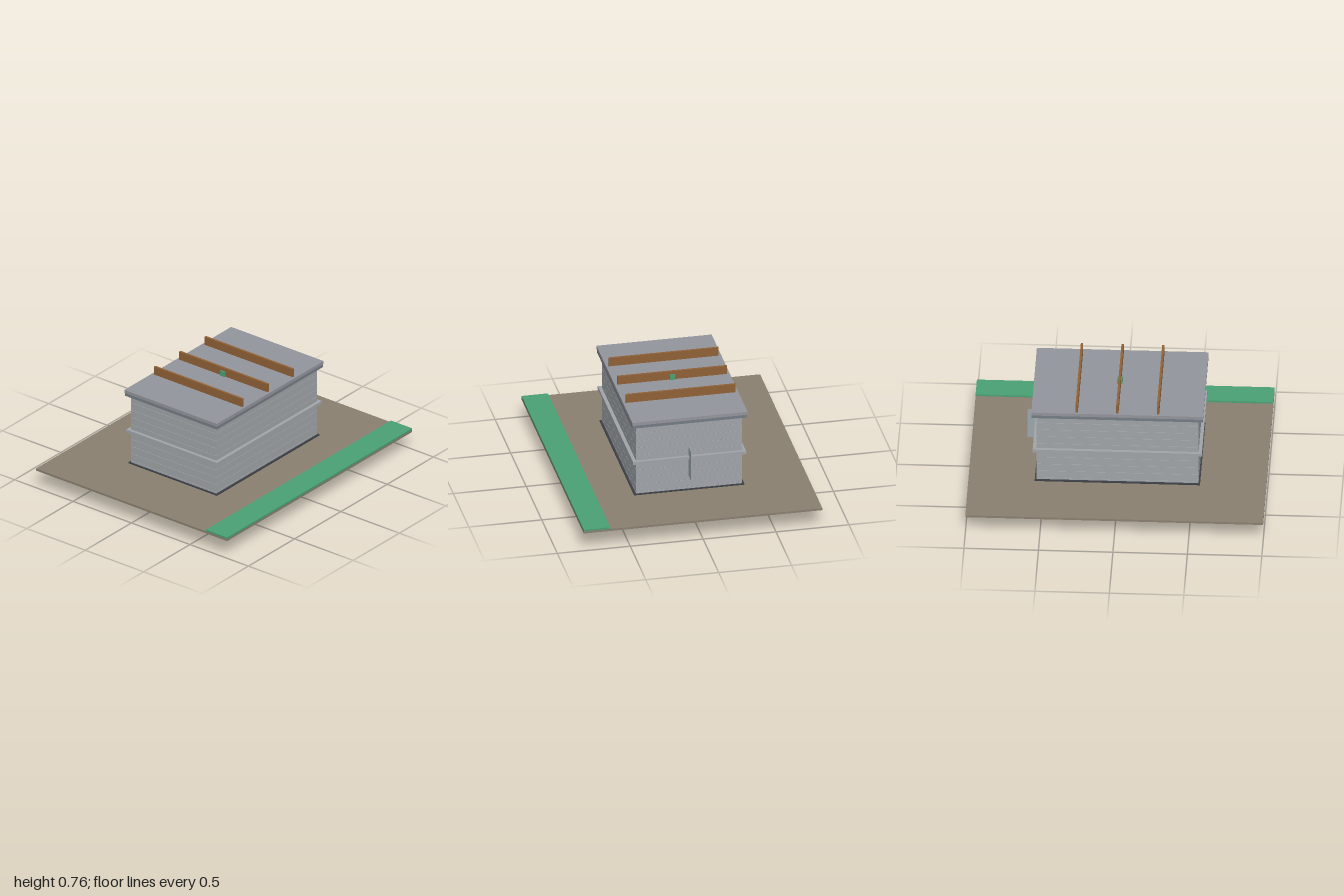
import * as THREE from 'three';

const mat = (color) => new THREE.MeshStandardMaterial({ color });
const M = {
  earth: mat(0x8a7f70), grass: mat(0x4ba075), footing: mat(0x937828), block: mat(0xa0a4a8),
  joint: mat(0x6c7074), damp: mat(0x3c4046), roof: mat(0x93959c), fascia: mat(0x747c84),
  timber: mat(0x8f6136), panel: mat(0x9aa7ae),
};

export function createModel() {
  const model = new THREE.Group();

  // Box given by its minimum and maximum on each axis
  const box = (name, m, x0, x1, y0, y1, z0, z1) => {
    const mesh = new THREE.Mesh(new THREE.BoxGeometry(x1 - x0, y1 - y0, z1 - z0), m);
    mesh.position.set((x0 + x1) / 2, (y0 + y1) / 2, (z0 + z1) / 2);
    mesh.name = name;
    model.add(mesh);
    return mesh;
  };

  // Rectangular frame, open in the middle, with outer half sizes and wall thickness
  const frame = (name, m, hx, hz, t, y0, y1) => {
    const rect = (Type, a, b) => new Type([
      new THREE.Vector2(-a, -b), new THREE.Vector2(a, -b),
      new THREE.Vector2(a, b), new THREE.Vector2(-a, b),
    ]);
    const shape = rect(THREE.Shape, hx, hz);
    shape.holes.push(rect(THREE.Path, hx - t, hz - t));
    const geo = new THREE.ExtrudeGeometry(shape, { depth: y1 - y0, bevelEnabled: false });
    geo.rotateX(-Math.PI / 2);
    const mesh = new THREE.Mesh(geo, m);
    mesh.position.y = y0;
    mesh.name = name;
    model.add(mesh);
  };

  // Ground and the strip of grass along the front
  box('groundSlab', M.earth, -1, 1, 0.13, 0.145, -0.818, 0.818);
  box('grassStrip', M.grass, -1, 1, 0.145, 0.158, 0.637, 0.818);

  // Strip footing with thicker corner piers and column feet
  frame('stripFooting', M.footing, 0.555, 0.38, 0.1, 0.002, 0.13);
  for (const sx of [-1, 1]) {
    for (const sz of [-1, 1]) {
      const x = sx * 0.528, z = sz * 0.345;
      box('cornerPier', M.footing, x - 0.07, x + 0.07, 0.001, 0.13, z - 0.068, z + 0.068);
      box('columnFoot', M.block, x - 0.045, x + 0.045, 0, 0.1, z - 0.045, z + 0.045);
    }
  }

  // Damp course and block walls, laid in courses over a recessed mortar core
  frame('dampCourse', M.damp, 0.555, 0.378, 0.06, 0.145, 0.153);
  frame('mortarCore', M.joint, 0.542, 0.361, 0.03, 0.15, 0.662);
  frame('footCourse', M.block, 0.545, 0.364, 0.036, 0.153, 0.164);
  const pitch = 0.055;
  for (let i = 0; i < 9; i++) {
    const y = 0.165 + i * pitch;
    frame('blockCourse', M.block, 0.545, 0.364, 0.036, y + 0.001, y + pitch - 0.001);
  }

  // Ring beam around the walls at sill height
  frame('ringBeam', M.block, 0.568, 0.388, 0.06, 0.382, 0.403);

  // Roof slab on its fascia, with three timber beams
  box('roofFascia', M.fascia, -0.574, 0.574, 0.66, 0.682, -0.393, 0.393);
  box('roofSlab', M.roof, -0.577, 0.577, 0.682, 0.705, -0.395, 0.395);
  for (const x of [-0.273, 0, 0.273]) {
    box('roofBeam', M.timber, x - 0.008, x + 0.008, 0.705, 0.765, -0.377, 0.377);
  }
  box('roofMarker', M.grass, -0.018, 0.018, 0.705, 0.742, -0.018, 0.018);

  // Thin panel standing out from the side wall
  box('sidePanel', M.panel, 0.54, 0.622, 0.25, 0.467, -0.0025, 0.0025);

  return model;
}
